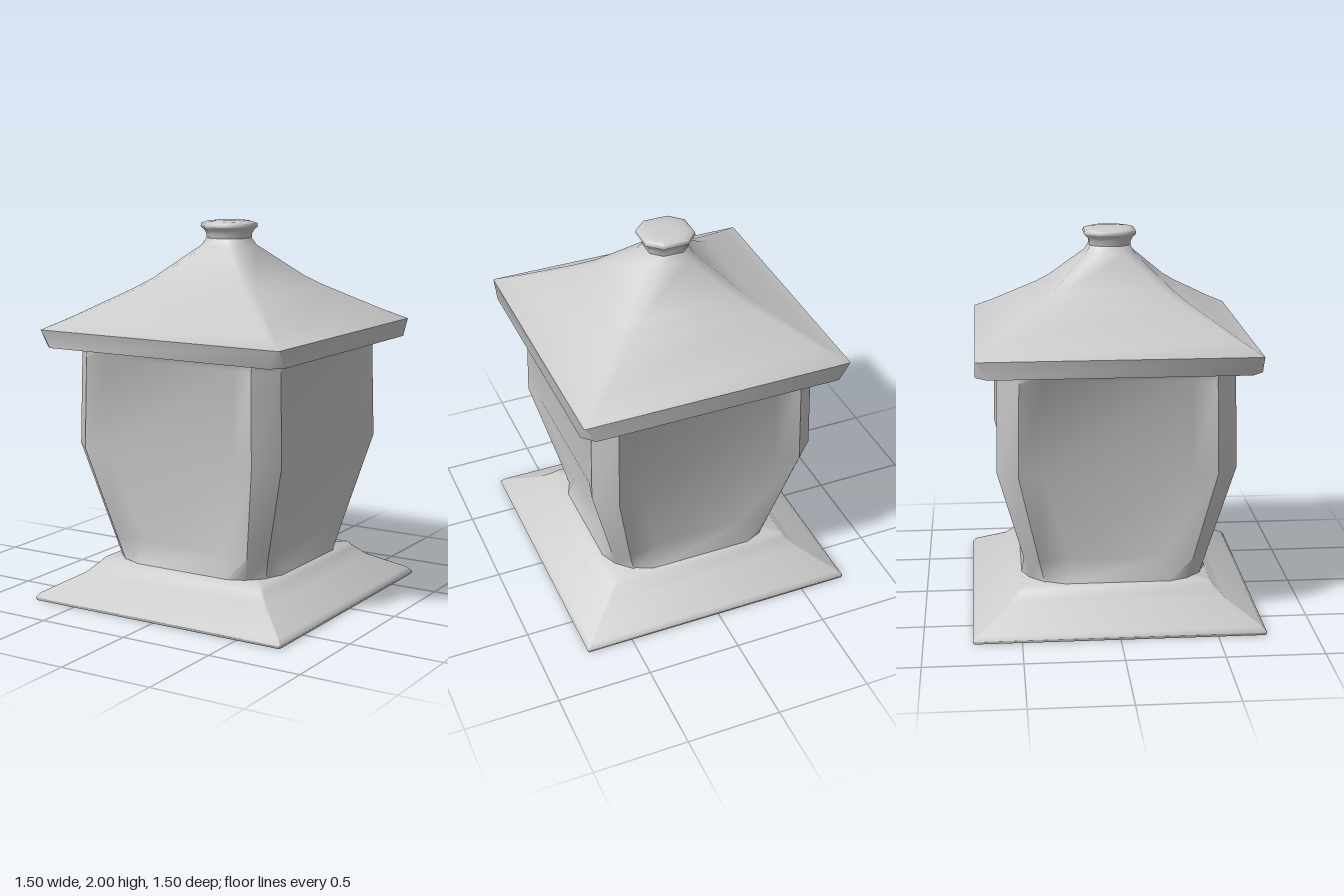
import * as THREE from 'three';
import { toCreasedNormals } from 'three/addons/utils/BufferGeometryUtils.js';

const material = new THREE.MeshStandardMaterial({ color: 0xcccccc });

// Four-sided cross-section: one side as [x, z] points, turned round the y axis.
function ring(y, side) {
  const points = [];
  for (let k = 0; k < 4; k++) {
    for (let [x, z] of side) {
      for (let n = 0; n < k; n++) [x, z] = [z, -x];
      points.push([x, y, z]);
    }
  }
  return points;
}

// Square of half width h, its corners cut so each side spans -c to c.
const cutSquare = ([y, h, c]) => ring(y, [[-c, h], [c, h]]);

// Skin stacked rings from bottom to top and close both ends.
function loft(name, rings, crease) {
  const n = rings[0].length;
  const positions = rings.flat(2);
  const index = [];
  for (let r = 0; r < rings.length - 1; r++) {
    for (let i = 0; i < n; i++) {
      const a = r * n + i, b = r * n + (i + 1) % n;
      index.push(a, b, b + n, a, b + n, a + n);
    }
  }
  const last = rings.length - 1;
  const low = rings.length * n, high = low + 1;
  positions.push(0, rings[0][0][1], 0, 0, rings[last][0][1], 0);
  for (let i = 0; i < n; i++) {
    const j = (i + 1) % n;
    index.push(low, j, i, high, last * n + i, last * n + j);
  }
  const geometry = new THREE.BufferGeometry();
  geometry.setAttribute('position', new THREE.Float32BufferAttribute(positions, 3));
  geometry.setIndex(index);
  const mesh = new THREE.Mesh(toCreasedNormals(geometry, crease), material);
  mesh.name = name;
  return mesh;
}

export function createModel() {
  const group = new THREE.Group();
  group.name = 'lantern';

  // Spreading square foot: [y, half width, side reach]
  group.add(loft('base', [
    [0, 0.745, 0.742], [0.015, 0.75, 0.747], [0.04, 0.73, 0.725],
    [0.135, 0.56, 0.55], [0.185, 0.51, 0.495], [0.21, 0.49, 0.47],
  ].map(cutSquare), 1.0));

  // Body with cut corner posts, sloping frames and shallow sunken panes:
  // [y, post half width, post edge, pane edge, pane half width]
  const bodyRows = [
    [0.2, 0.447, 0.37, 0.27, 0.49], [0.33, 0.479, 0.40, 0.25, 0.452],
    [0.83, 0.613, 0.505, 0.38, 0.583], [1.31, 0.602, 0.495, 0.37, 0.573],
    [1.36, 0.604, 0.5, 0.38, 0.615], [1.41, 0.61, 0.505, 0.38, 0.625],
  ];
  group.add(loft('body', bodyRows.map(([y, h, c, p, d]) =>
    ring(y, [[-c, h], [-p, d], [p, d], [c, h]])), 0.9));

  // Hipped roof with an eave band, its lower corners clipped
  group.add(loft('roof', [
    [1.4, 0.64, 0.59], [1.36, 0.67, 0.62], [1.36, 0.71, 0.65], [1.45, 0.71, 0.705],
    [1.51, 0.605, 0.585], [1.65, 0.38, 0.34], [1.7, 0.31, 0.265],
    [1.87, 0.125, 0.075], [1.91, 0.105, 0.052],
  ].map(cutSquare), 0.9));

  // Eight-sided knob on the peak
  group.add(loft('finial', [
    [1.88, 0.104], [1.93, 0.108], [1.95, 0.118], [1.967, 0.135],
    [1.985, 0.132], [1.995, 0.105], [2, 0.06],
  ].map(([y, h]) => cutSquare([y, h, h * 0.5])), 1.1));

  return group;
}
